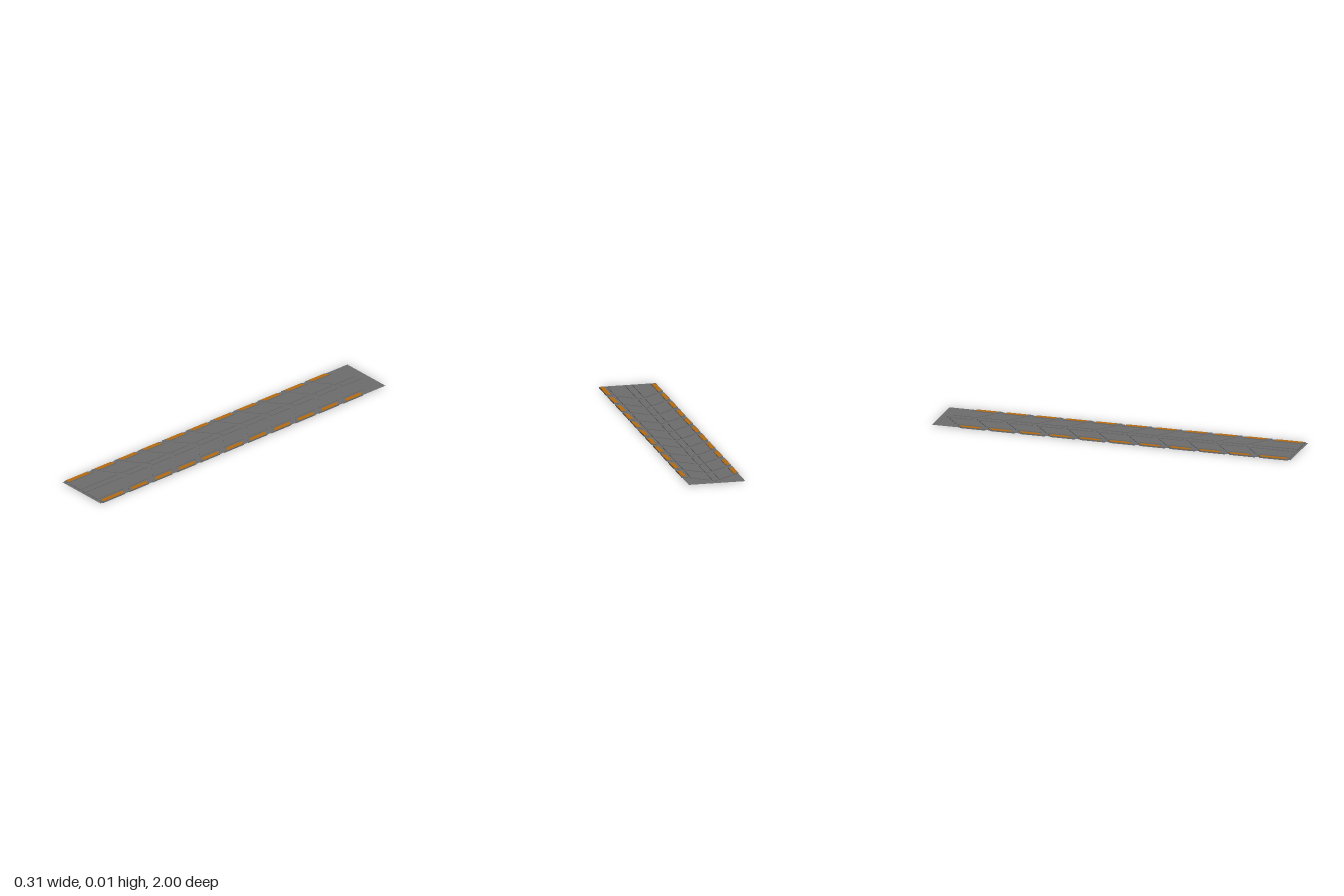
import * as THREE from 'three';

const HALF = 0.155, HEIGHT = 0.0078, PITCH = 0.167, GROOVE = 0.028;
const APEX = -0.965, SLOPE = 0.8, FRONT = 0.985, ROWS = 11;

// z of chevron line k at a given x, pointing backwards in the middle
const chevron = (k, x) => APEX + k * PITCH + SLOPE * Math.abs(x);

// Slab between two x values whose back and front edges follow the chevrons
function slab(k, x0, x1, y0, y1, insetBack = 0, insetFront = 0) {
  const xs = x0 < 0 && x1 > 0 ? [x0, 0, x1] : [x0, x1];
  const back = x => chevron(k, x) + insetBack;
  const front = x => (k === ROWS - 1 ? FRONT - insetFront / 2 : chevron(k + 1, x) - GROOVE - insetFront);
  const points = [
    ...xs.map(x => new THREE.Vector2(x, -front(x))),
    ...[...xs].reverse().map(x => new THREE.Vector2(x, -back(x))),
  ];
  const geometry = new THREE.ExtrudeGeometry(new THREE.Shape(points), { depth: y1 - y0, bevelEnabled: false });
  return geometry.rotateX(-Math.PI / 2).translate(0, y0, 0);
}

export function createModel() {
  const group = new THREE.Group();
  const rubber = new THREE.MeshStandardMaterial({ color: 0x6e6e6e, side: THREE.DoubleSide });
  rubber.name = 'grey rubber';
  const orange = new THREE.MeshStandardMaterial({ color: 0xb86a0c });
  orange.name = 'orange';

  const add = (name, geometry, material, parent = group) => {
    const mesh = new THREE.Mesh(geometry, material);
    mesh.name = name;
    parent.add(mesh);
  };

  // Thin backing sheet halfway up the blocks
  add('backingSheet', new THREE.PlaneGeometry(2 * HALF, 2).rotateX(-Math.PI / 2).translate(0, 0.004, 0), rubber);

  // Five columns of tread blocks, cut by chevron grooves
  const columns = [[-HALF, -0.127], [-0.113, -0.027], [-0.0135, 0.0135], [0.027, 0.113], [0.127, HALF]];
  for (let k = 0; k < ROWS; k++) {
    const row = new THREE.Group();
    row.name = 'treadRow' + k;
    group.add(row);
    for (const [x0, x1] of columns) add('treadBlock', slab(k, x0, x1, 0.0004, HEIGHT), rubber, row);

    // Orange markers on the outer blocks, with a narrow strip underneath
    for (const side of [-1, 1]) {
      const span = (a, b) => (side > 0 ? [a, b] : [-b, -a]);
      add('edgeMarker', slab(k, ...span(0.13, 0.153), HEIGHT, HEIGHT + 0.0005, 0.01, 0.02), orange, row);
      add('lowerEdgeMarker', slab(k, ...span(0.146, 0.153), 0, 0.0004, 0.01, 0.02), orange, row);
    }
  }
  return group;
}
